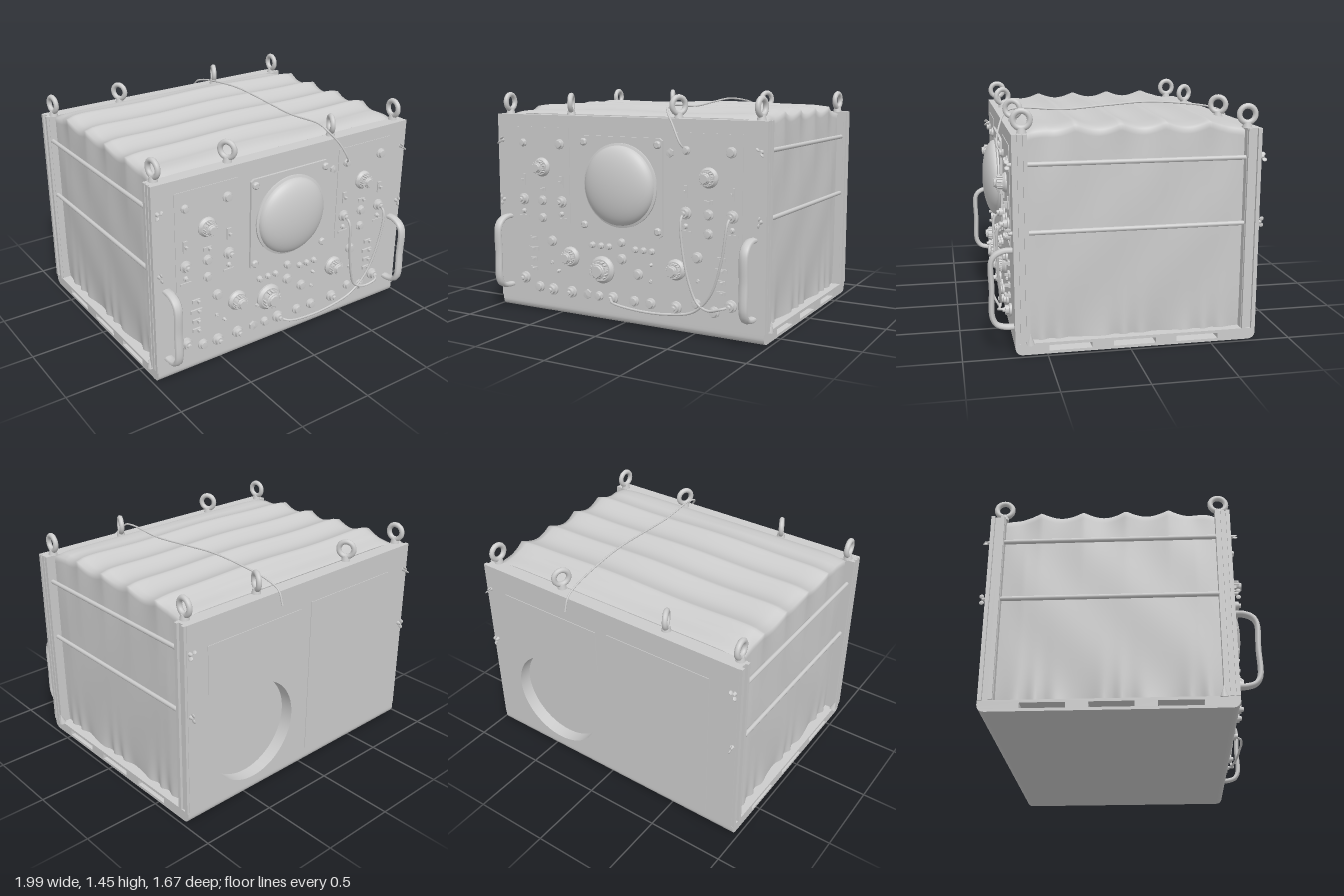
import * as THREE from 'three';
import { toCreasedNormals } from 'three/addons/utils/BufferGeometryUtils.js';

const mat = new THREE.MeshStandardMaterial({ color: 0xcccccc });
const clothMat = new THREE.MeshStandardMaterial({ color: 0xcccccc, side: THREE.DoubleSide });
const FRONT = 0.69, BACK = -0.79;

export function createModel() {
  const root = new THREE.Group();

  const add = (name, geo, x = 0, y = 0, z = 0, parent = root, m = mat) => {
    const mesh = new THREE.Mesh(geo, m);
    mesh.name = name;
    mesh.position.set(x, y, z);
    parent.add(mesh);
    return mesh;
  };
  const box = (name, w, h, d, x, y, z, parent) => add(name, new THREE.BoxGeometry(w, h, d), x, y, z, parent);
  // Turned part whose axis points to the front; profile is [radius, height] pairs
  const turned = (name, profile, x, y, z = FRONT, seg = 20) => {
    const geo = new THREE.LatheGeometry(profile.map(p => new THREE.Vector2(...p)), seg);
    geo.rotateX(Math.PI / 2);
    return add(name, toCreasedNormals(geo, 0.6), x, y, z);
  };
  const tube = (name, pts, r, seg = 60) =>
    add(name, new THREE.TubeGeometry(new THREE.CatmullRomCurve3(pts.map(p => new THREE.Vector3(...p))), seg, r, 8));

  // Slotted base tray, profile drawn in z and y
  const tray = new THREE.Shape();
  tray.moveTo(FRONT, 0.07);
  tray.lineTo(BACK, 0.07);
  tray.lineTo(BACK, 0.05);
  tray.quadraticCurveTo(BACK, 0, BACK + 0.05, 0);
  tray.lineTo(FRONT - 0.05, 0);
  tray.quadraticCurveTo(FRONT, 0, FRONT, 0.05);
  for (const z of [0.36, -0.03, -0.42]) {
    const slot = new THREE.Path();
    slot.moveTo(z - 0.13, 0.018);
    slot.lineTo(z - 0.13, 0.052);
    slot.lineTo(z + 0.13, 0.052);
    slot.lineTo(z + 0.13, 0.018);
    tray.holes.push(slot);
  }
  const trayGeo = new THREE.ExtrudeGeometry(tray, { depth: 1.94, bevelEnabled: false });
  trayGeo.translate(0, 0, -0.97).rotateY(-Math.PI / 2);
  add('baseTray', toCreasedNormals(trayGeo, 0.6));

  // Front panel and ribbed corner posts
  box('frontPanel', 1.93, 1.24, 0.09, 0, 0.69, 0.645);
  for (const s of [-1, 1]) {
    for (const z of [0.612, 0.645, 0.678, -0.775, -0.715])
      box('cornerRib', 0.03, 1.24, 0.024, s * 0.962, 0.69, z);
    const spur = add('footSpur', new THREE.ConeGeometry(0.025, 0.07, 8), s * 0.975, 0.1, 0.6);
    spur.rotation.z = -s * 0.2;
  }

  // Back panel with a round recess
  const back = new THREE.Shape();
  back.moveTo(-0.96, 0.07);
  back.lineTo(0.96, 0.07);
  back.lineTo(0.96, 1.31);
  back.lineTo(-0.96, 1.31);
  const hole = new THREE.Path();
  hole.absarc(0.44, 0.43, 0.33, 0, Math.PI * 2, true);
  back.holes.push(hole);
  const backGeo = new THREE.ExtrudeGeometry(back, { depth: 0.09, bevelEnabled: false, curveSegments: 32 });
  add('backPanel', toCreasedNormals(backGeo, 0.6), 0, 0, BACK);
  box('recessFloor', 0.72, 0.7, 0.01, 0.44, 0.43, -0.7);
  box('upperBackPlate', 0.75, 0.31, 0.008, 0.435, 0.985, BACK);
  box('largeBackPlate', 0.74, 1.06, 0.008, -0.4, 0.63, BACK);

  // Fabric cover: a sheet running up one side, over the top and down the other
  const cloth = new THREE.PlaneGeometry(1, 1, 110, 90);
  const p = cloth.attributes.position;
  for (let i = 0; i < p.count; i++) {
    const u = p.getX(i) + 0.5, v = p.getY(i) + 0.5;
    const z = 0.61 - 1.31 * v;
    const end = Math.min(1, Math.min(v, 1 - v) / 0.1);
    const fold = 1 - 1.25 * Math.abs(Math.sin((z - 0.05) / 0.265 * Math.PI));
    const top = 1.315 + end * (0.03 + 0.028 * fold);
    let x, y;
    if (u < 0.3 || u > 0.7) {
      const side = u < 0.3 ? -1 : 1;
      const t = (u < 0.3 ? u : 1 - u) / 0.3;
      y = 0.07 + t * (top - 0.09);
      const hem = Math.exp(-t * 12), crown = Math.exp(-(1 - t) * 7);
      x = side * (0.915 + 0.012 * Math.sin(Math.PI * t) * end
        + 0.01 * hem * Math.sin(z * 37 + Math.sin(z * 13) * 2)
        + 0.012 * crown * fold * end + 0.003 * Math.sin(z * 11 + y * 9) * end);
    } else {
      const t = (u - 0.5) / 0.2;
      x = t * 0.915;
      y = top - 0.02 * Math.pow(Math.abs(t), 16) + 0.006 * end * Math.cos(t * 5 + z * 2);
    }
    p.setXYZ(i, x, y, z);
  }
  cloth.computeVertexNormals();
  add('fabricCover', cloth, 0, 0, 0, root, clothMat);

  // Side rods with wing nuts at both ends
  for (const s of [-1, 1]) for (const y of [1.135, 0.735]) {
    const rod = add('sideRod', new THREE.CylinderGeometry(0.014, 0.014, 1.34, 12), s * 0.945, y, -0.05);
    rod.rotation.x = Math.PI / 2;
    for (const [z, dir] of [[FRONT, 1], [BACK, -1]]) {
      const nut = new THREE.Group();
      nut.name = 'wingNut';
      nut.position.set(s * 0.94, y, z + dir * 0.01);
      nut.rotation.z = s * y * 2;
      root.add(nut);
      const hub = add('nutHub', new THREE.CylinderGeometry(0.01, 0.014, 0.03, 10), 0, 0, 0, nut);
      hub.rotation.x = dir * Math.PI / 2;
      for (const w of [-1, 1]) {
        const wing = add('nutWing', new THREE.SphereGeometry(0.014, 10, 8), w * 0.02, 0, dir * 0.015, nut);
        wing.scale.set(1, 0.35, 1.1);
      }
    }
  }

  // Lifting eyes along the front and back edges
  for (const z of [0.625, -0.715]) for (const [x, turn] of [[-0.92, 0.08], [-0.42, 0.45], [0.37, -0.45], [0.91, -0.08]]) {
    add('eyeCollar', new THREE.CylinderGeometry(0.022, 0.03, 0.035, 14), x, 1.325, z);
    const ring = add('liftingEye', new THREE.TorusGeometry(0.049, 0.017, 12, 28), x, 1.387, z);
    ring.rotation.y = Math.PI / 2 + turn;
  }

  // Flattened grab handles
  for (const s of [-1, 1]) {
    const h = tube('grabHandle', [[0, 0.155, 0.68], [0, 0.157, 0.74], [0, 0.175, 0.79], [0, 0.22, 0.815], [0, 0.39, 0.815],
      [0, 0.56, 0.815], [0, 0.6, 0.79], [0, 0.622, 0.74], [0, 0.624, 0.68]], 0.017);
    h.scale.x = 1.8;
    h.position.x = s * 0.895;
  }

  // Domed screen on its bezel
  const bezel = new THREE.Shape();
  [[-0.3, -0.29], [-0.28, -0.305], [0.28, -0.305], [0.3, -0.29], [0.3, 0.29], [0.28, 0.305], [-0.28, 0.305], [-0.3, 0.29]]
    .forEach(([x, y], i) => i ? bezel.lineTo(x, y) : bezel.moveTo(x, y));
  add('screenBezel', new THREE.ExtrudeGeometry(bezel, { depth: 0.015, bevelEnabled: false }), 0, 0.885, FRONT);
  const dome = [[0.265, 0], [0.265, 0.025], [0.25, 0.03]];
  for (let i = 0; i <= 12; i++) {
    const a = i / 12 * Math.PI / 2;
    dome.push([0.25 * Math.cos(a), 0.03 + 0.083 * Math.sin(a)]);
  }
  turned('screenDome', dome, 0, 0.887, FRONT, 56);

  // Small controls
  const button = (x, y, r) => turned('button', [[r, 0], [r, 0.012], [r * 0.75, 0.016], [r * 0.7, 0.03], [0, 0.032]], x, y);
  const jack = (x, y, r = 0.038) => turned('jack',
    [[r, 0], [r, 0.014], [r * 0.75, 0.018], [r * 0.7, 0.04], [r * 0.4, 0.04], [r * 0.35, 0.055], [0, 0.055]], x, y);
  const screw = (x, y, z = FRONT) => turned('screw', [[0.024, 0], [0.024, 0.01], [0.016, 0.018], [0, 0.018]], x, y, z, 16);
  const star = (x, y, r) => turned('starNut', [[r, 0], [r, 0.014], [r * 0.4, 0.016], [0, 0.02]], x, y, FRONT, 6);
  const bigKnob = (x, y, r) => {
    turned('knobSkirt', [[r, 0], [r, 0.012], [r * 0.8, 0.028], [0, 0.028]], x, y, FRONT, 32);
    turned('knobCap', [[r * 0.58, 0.06], [r * 0.5, 0.068], [r * 0.45, 0.068], [r * 0.4, 0.08], [0, 0.08]], x, y, FRONT, 24);
    for (let i = 0; i < 16; i++) {
      const a = i / 16 * Math.PI * 2;
      const rib = box('knobRib', r * 0.2, r * 0.17, 0.036, x + Math.cos(a) * r * 0.6, y + Math.sin(a) * r * 0.6, FRONT + 0.044);
      rib.rotation.z = a;
    }
    turned('knobCore', [[r * 0.6, 0.02], [r * 0.6, 0.06], [0, 0.06]], x, y);
  };
  const toggle = (x, y, w, h) => {
    box('switchPlate', w, h, 0.014, x, y, FRONT + 0.006);
    box('switchLever', Math.min(w, 0.016), Math.min(h, 0.016), 0.03, x + (w > h ? w * 0.15 : 0), y, FRONT + 0.02);
  };
  for (const x of [-0.27, 0.27]) for (const y of [0.62, 1.15]) screw(x, y, FRONT + 0.015);

  // Twin control plates beside the screen
  for (const x of [-0.612, 0.61]) {
    box('controlPlate', 0.435, 0.64, 0.008, x, 0.91, FRONT);
    button(x - 0.15, 1.125, 0.026);
    button(x + 0.145, 1.125, 0.033);
    bigKnob(x, 0.97, 0.062);
    toggle(x, 0.825, 0.055, 0.024);
    button(x, 0.75, 0.032);
    button(x, 0.635, 0.03);
    for (const d of [-0.153, 0.155]) {
      toggle(x + d, 0.88, 0.03, 0.075);
      jack(x + d, 0.75);
      button(x + d, 0.67, 0.016);
      box('labelBar', 0.075, 0.014, 0.012, x + d, 0.635, FRONT + 0.005);
    }
  }

  // Lower control field
  bigKnob(-0.393, 0.395, 0.065);
  bigKnob(0.39, 0.395, 0.065);
  bigKnob(-0.147, 0.335, 0.088);
  for (const s of [-1, 1]) for (const y of [0.49, 0.42, 0.35, 0.285])
    toggle(s * 0.695, y, y === 0.42 ? 0.08 : 0.055, 0.024);
  for (const x of [-0.22, -0.155, -0.095, 0.1, 0.16, 0.22]) button(x, 0.49, 0.02);
  for (const [x, y, r] of [[0, 0.525, 0.026], [-0.54, 0.485, 0.034], [0.535, 0.485, 0.034], [0, 0.42, 0.033], [0.12, 0.335, 0.034],
    [0.215, 0.405, 0.011], [-0.49, 0.29, 0.011], [-0.65, 0.165, 0.034], [0.65, 0.165, 0.034], [-0.175, 0.16, 0.03],
    [0.09, 0.16, 0.033], [0.21, 0.16, 0.034], [0.53, 0.2, 0.03]]) button(x, y, r);
  for (const [x, y] of [[-0.77, 0.215], [0.76, 0.215], [-0.54, 0.16], [-0.39, 0.16], [-0.07, 0.16], [0.39, 0.16]]) jack(x, y);
  for (const [x, y, r] of [[-0.265, 0.16, 0.032], [0.35, 1.105, 0.026], [-0.235, 0.3, 0.013], [-0.545, 0.34, 0.013],
    [0.21, 0.3, 0.013], [0.54, 0.34, 0.013]]) star(x, y, r);

  // Patch cables and the lead thrown over the top
  tube('patchCable', [[0.457, 0.75, 0.72], [0.458, 0.72, 0.76], [0.47, 0.55, 0.765], [0.51, 0.33, 0.75], [0.56, 0.215, 0.74],
    [0.64, 0.185, 0.755], [0.73, 0.21, 0.765], [0.76, 0.215, 0.72]], 0.008);
  tube('longPatchCable', [[0.765, 0.75, 0.72], [0.764, 0.72, 0.76], [0.73, 0.5, 0.765], [0.65, 0.28, 0.75], [0.53, 0.16, 0.74],
    [0.36, 0.125, 0.75], [0.15, 0.125, 0.765], [-0.03, 0.15, 0.765], [-0.07, 0.16, 0.72]], 0.008, 80);
  tube('overheadLead', [[0.455, 1.13, 0.7], [0.44, 1.16, 0.73], [0.38, 1.27, 0.715], [0.31, 1.365, 0.66], [0.31, 1.385, 0.58],
    [0.305, 1.37, 0.3], [0.295, 1.39, 0], [0.285, 1.405, -0.25], [0.275, 1.39, -0.5], [0.265, 1.36, -0.7],
    [0.26, 1.32, -0.79], [0.26, 1.235, -0.825]], 0.006, 100);

  return root;
}
